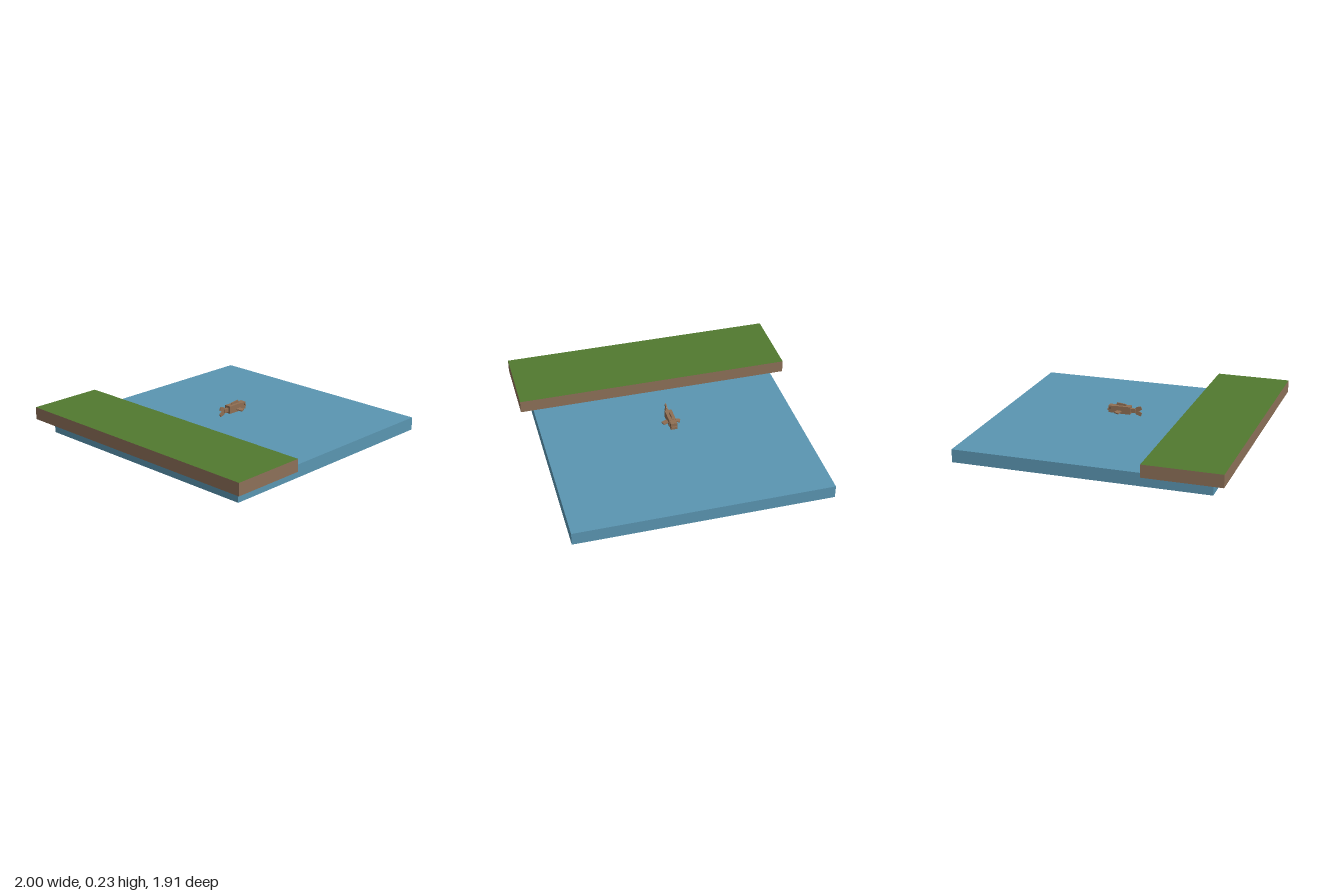
import * as THREE from 'three';

const material = (name, color, extra = {}) => {
  const m = new THREE.MeshStandardMaterial({ color, ...extra });
  m.name = name;
  return m;
};

export function createModel() {
  const model = new THREE.Group();
  model.name = 'pondWithFish';
  const water = material('water blue', 0x5a95b1);
  const grass = material('grass green', 0x51792f);
  const earth = material('earth brown', 0x8c7058);
  const scales = material('fish brown', 0x8f6e53);
  const dark = material('eye dark', 0x2e241c);

  // Box given by its minimum and maximum corners
  function box(name, mat, min, max, parent = model) {
    const size = max.map((v, i) => v - min[i]);
    const mesh = new THREE.Mesh(new THREE.BoxGeometry(...size), mat);
    mesh.position.set(...max.map((v, i) => (v + min[i]) / 2));
    mesh.name = name;
    parent.add(mesh);
    return mesh;
  }

  // Water slab and the bank along its front; only the bank's top is grass
  box('waterSlab', water, [-0.907, 0, -0.957], [0.907, 0.093, 0.863]);
  box('bank', [earth, earth, grass, earth, earth, earth], [-1, 0.1, 0.407], [1, 0.19, 0.955]);

  // Fish, head towards -z
  const fish = new THREE.Group();
  fish.name = 'fish';
  model.add(fish);
  box('body', scales, [-0.025, 0.152, -0.1], [0.025, 0.207, 0.018], fish);
  box('head', scales, [-0.023, 0.154, -0.145], [0.023, 0.204, -0.1], fish);
  box('mouth', scales, [-0.018, 0.166, -0.155], [0.018, 0.18, -0.145], fish);
  box('tailStem', scales, [-0.009, 0.163, 0.018], [0.009, 0.192, 0.056], fish);

  // Flat fin drawn in the z-y plane
  function finPlate(name, points, thickness) {
    const shape = new THREE.Shape(points.map(([z, y]) => new THREE.Vector2(-z, y)));
    const geo = new THREE.ExtrudeGeometry(shape, { depth: thickness, bevelEnabled: false });
    geo.translate(0, 0, -thickness / 2).rotateY(Math.PI / 2);
    const mesh = new THREE.Mesh(geo, scales);
    mesh.name = name;
    fish.add(mesh);
  }
  finPlate('tailFin', [[0.045, 0.186], [0.058, 0.206], [0.092, 0.214], [0.1, 0.19], [0.075, 0.178],
    [0.1, 0.164], [0.092, 0.141], [0.058, 0.151], [0.045, 0.17]], 0.008);
  finPlate('dorsalFin', [[-0.012, 0.2], [-0.02, 0.219], [-0.085, 0.227], [-0.095, 0.2]], 0.008);

  // Mirrored side fins and eyes
  for (const s of [-1, 1]) {
    const fin = box('sideFin', scales, [-0.022, -0.004, -0.018], [0.022, 0.004, 0.018], fish);
    fin.position.set(s * 0.043, 0.169, -0.067);
    fin.rotation.set(0.1, s * 0.3, s * -0.15);
    box('eye', dark, [s * 0.0235 - 0.001, 0.184, -0.136], [s * 0.0235 + 0.001, 0.191, -0.129], fish);
  }
  return model;
}
